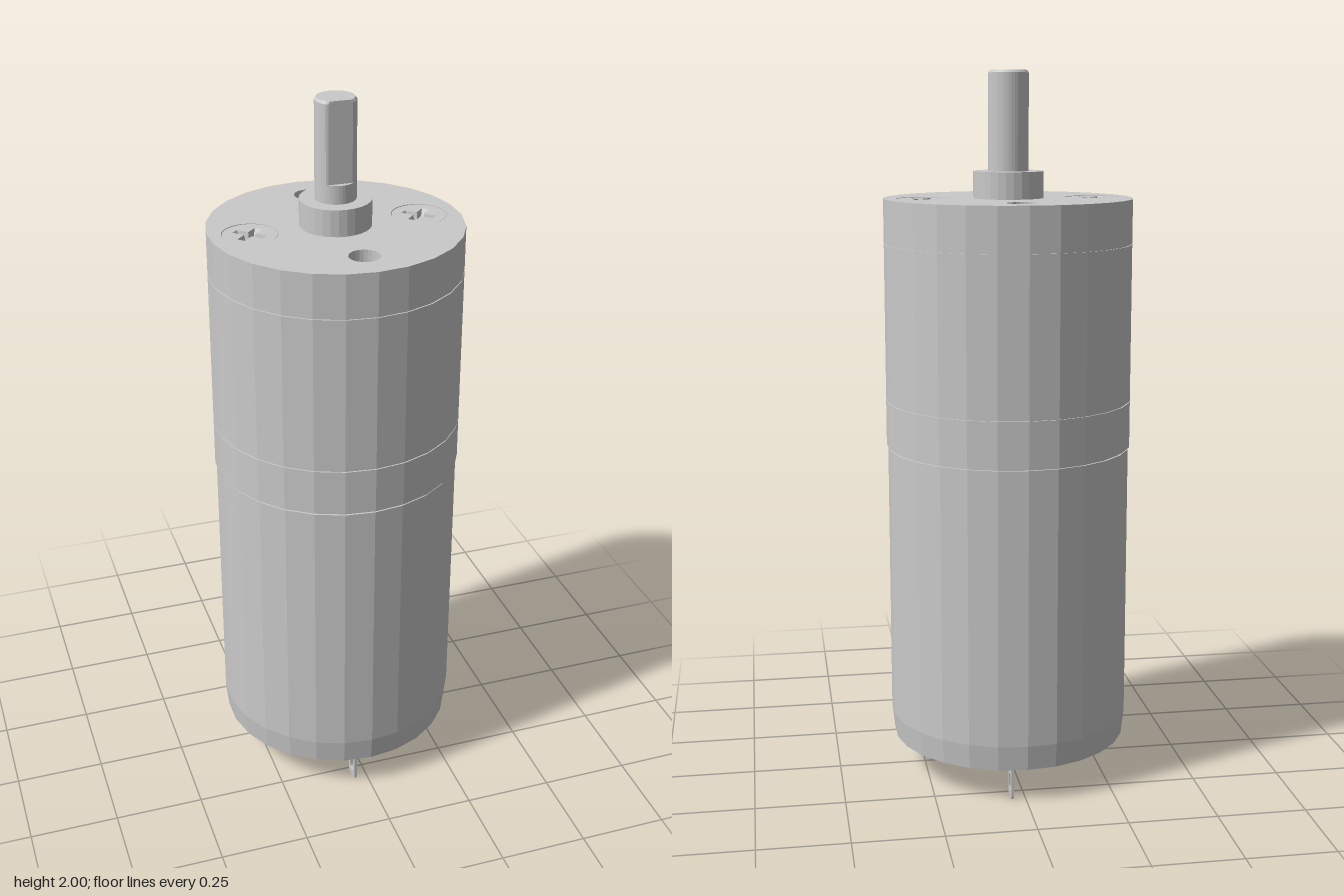
import * as THREE from 'three';

const SIDES = 26;

export function createModel() {
  const model = new THREE.Group();
  const steel = new THREE.MeshStandardMaterial({ color: 0xcacaca });
  steel.name = 'steel grey';

  function add(name, geometry, x = 0, y = 0, z = 0) {
    const mesh = new THREE.Mesh(geometry, steel);
    mesh.name = name;
    mesh.position.set(x, y, z);
    model.add(mesh);
    return mesh;
  }
  const lathe = (profile, sides) =>
    new THREE.LatheGeometry(profile.map(([r, y]) => new THREE.Vector2(r, y)), sides);
  function faceted(geometry) {
    const g = geometry.toNonIndexed();
    g.computeVertexNormals();
    return g;
  }
  // Faceted solid of revolution, profile given as [radius, y]
  const turned = (profile, sides = SIDES) => faceted(lathe(profile, sides));

  function ring(radius, sides, x = 0, y = 0) {
    return Array.from({ length: sides }, (_, i) => {
      const a = Math.PI / 2 + (i / sides) * Math.PI * 2;
      return new THREE.Vector2(x + radius * Math.cos(a), y + radius * Math.sin(a));
    });
  }
  // Flat outline raised along its normal
  const raised = (shape, depth, curveSegments = 12) =>
    new THREE.ExtrudeGeometry(shape, { depth, bevelEnabled: false, curveSegments });
  const upright = (g) => g.rotateX(-Math.PI / 2);

  // Motor can with tapered foot and open rim
  add('motorCan', turned([[0.326, 0.124], [0.326, 0.099], [0.336, 0.099], [0.344, 0.17], [0.344, 0.952], [0, 0.952]]));
  add('seamNeck', turned([[0.338, 0.945], [0.338, 0.965]]));

  // Gearbox stages separated by fine seams
  add('gearbox', turned([
    [0.3, 0.958], [0.348, 0.958], [0.348, 1.087], [0.344, 1.087], [0.344, 1.09], [0.348, 1.09],
    [0.348, 1.528], [0.344, 1.528], [0.344, 1.531], [0, 1.531],
  ]));

  // Front plate with two mounting holes and two screw pockets
  const plate = new THREE.Shape(ring(0.348, SIDES));
  for (const s of [-1, 1]) {
    plate.holes.push(new THREE.Path(ring(0.042, 24, 0, s * 0.237)));
    plate.holes.push(new THREE.Path(ring(0.076, 28, s * 0.237, 0)));
  }
  add('frontPlate', upright(raised(plate, 0.122)), 0, 1.531, 0);

  // Cross-head screws with tapering recesses
  const cross = new THREE.Path();
  const w = 0.011, l = 0.046;
  [[w, w], [l, w], [l, -w], [w, -w], [w, -l], [-w, -l], [-w, -w], [-l, -w], [-l, w], [-w, w], [-w, l], [w, l]]
    .forEach(([x, y], i) => {
      const px = (x - y) * Math.SQRT1_2, py = (x + y) * Math.SQRT1_2;
      if (i) cross.lineTo(px, py);
      else cross.moveTo(px, py);
    });
  cross.closePath();
  const head = new THREE.Shape(ring(0.0742, 28));
  head.holes.push(cross);
  for (const s of [-1, 1]) {
    const g = raised(head, 0.045);
    const p = g.attributes.position;
    for (let i = 0; i < p.count; i++) {
      if (p.getZ(i) < 0.01 && Math.hypot(p.getX(i), p.getY(i)) < 0.06) {
        p.setXY(i, p.getX(i) * 0.45, p.getY(i) * 0.45);
      }
    }
    g.computeVertexNormals();
    add('screwHead', upright(g), s * 0.237, 1.607, 0);
    add('screwBody', new THREE.CylinderGeometry(0.0742, 0.0742, 0.077, 28), s * 0.237, 1.569, 0);
  }

  // Bearing collar
  add('bearingCollar', turned([[0.098, 1.65], [0.098, 1.727], [0, 1.727]], 28));

  // Output shaft: rows above the step are cut to a flat at the front
  const shaftProfile = [[0.056, 1.72], [0.056, 1.778], [0.056, 1.778], [0.056, 1.993], [0.051, 2], [0, 2]];
  const shaft = lathe(shaftProfile, 40);
  const sp = shaft.attributes.position;
  for (let i = 0; i < sp.count; i++) {
    if (i % shaftProfile.length > 1) sp.setZ(i, Math.min(sp.getZ(i), 0.042));
  }
  add('outputShaft', faceted(shaft));

  // Rear cover with terminal slots and vent holes, closed behind by a disc
  const cover = new THREE.Shape(ring(0.3265, SIDES));
  for (const s of [-1, 1]) {
    const slot = [[-0.06, -0.262], [0.07, -0.262], [0.085, -0.28], [0.07, -0.298], [-0.06, -0.298]];
    cover.holes.push(new THREE.Path(slot.map(([x, y]) => new THREE.Vector2(s * x, s * y))));
    cover.holes.push(new THREE.Path(ring(0.026, 18, s * 0.075, -s * 0.09)));
    cover.holes.push(new THREE.Path(ring(0.011, 12, s * 0.16, -s * 0.03)));
  }
  add('rearCover', upright(raised(cover, 0.018)), 0, 0.105, 0);
  add('rearCoverBacking', new THREE.CylinderGeometry(0.326, 0.326, 0.01, SIDES), 0, 0.127, 0);

  // Rear boss with the recessed end of the motor shaft
  add('rearBoss', turned([
    [0, 0.07], [0.034, 0.07], [0.034, 0.055], [0.066, 0.055], [0.081, 0.066], [0.081, 0.108],
  ], 24));
  add('motorShaftEnd', new THREE.CylinderGeometry(0.017, 0.017, 0.02, 16), 0, 0.069, 0);

  // Solder terminals with eyelets, in opposite positions
  const tab = new THREE.Shape();
  tab.moveTo(-0.025, 0.124);
  tab.lineTo(-0.025, 0.006);
  tab.lineTo(-0.019, 0);
  tab.lineTo(0.019, 0);
  tab.lineTo(0.025, 0.006);
  tab.lineTo(0.025, 0.124);
  const eye = new THREE.Path();
  eye.absarc(0, 0.055, 0.012, 0, Math.PI, false);
  eye.absarc(0, 0.03, 0.012, Math.PI, Math.PI * 2, false);
  eye.closePath();
  tab.holes.push(eye);
  for (const s of [-1, 1]) {
    const g = raised(tab, 0.008, 6).translate(0, 0, -0.004).rotateY(Math.PI / 2);
    add('terminal', g, s * 0.037, 0, -s * 0.28);
    // Rear cover rivets
    for (const t of [-1, 1]) {
      add('coverRivet', new THREE.CylinderGeometry(0.025, 0.025, 0.008, 18), s * 0.125, 0.104, t * 0.273);
    }
  }
  return model;
}
